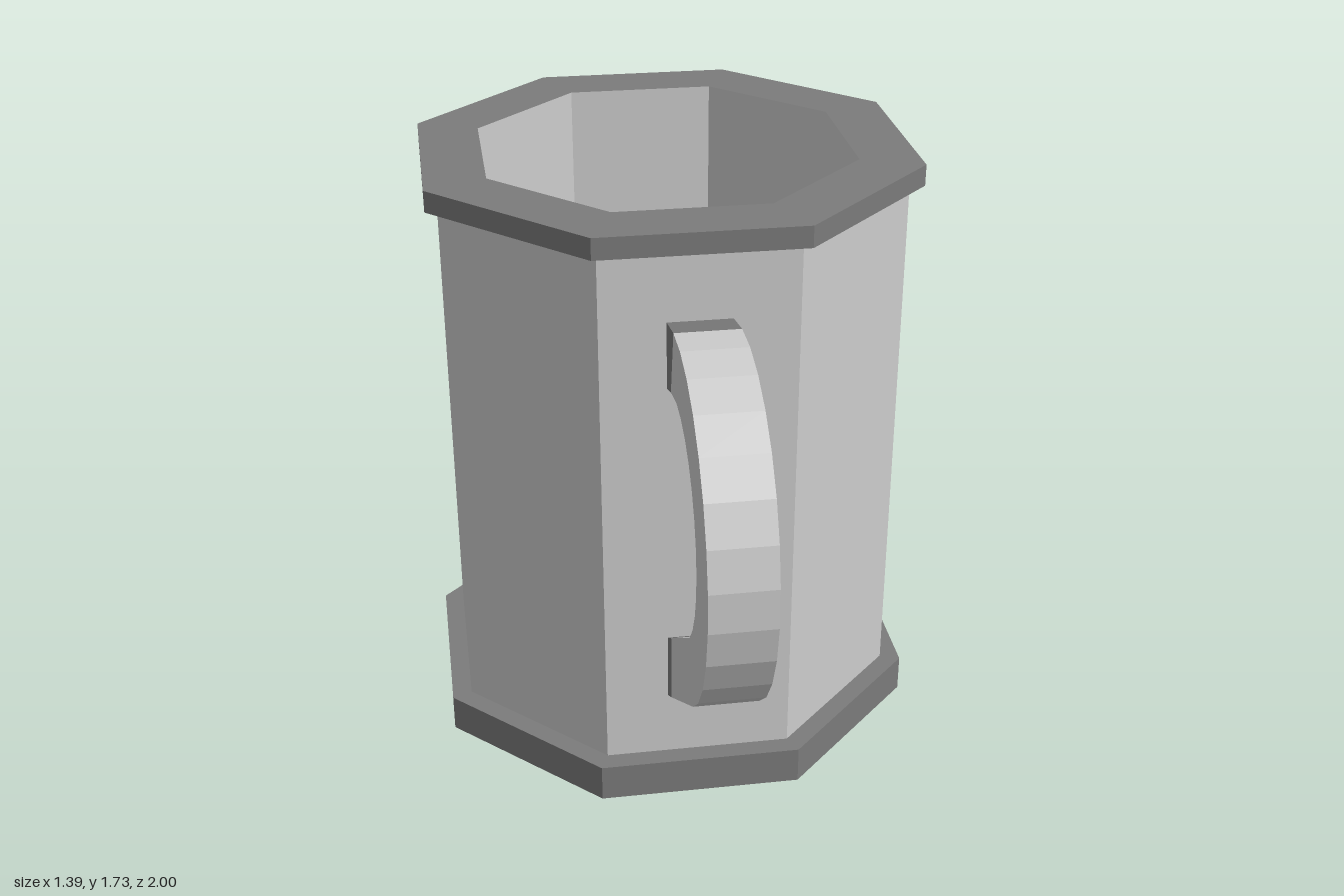
import * as THREE from 'three';

const CENTER_Z = -0.305;
const light = new THREE.MeshStandardMaterial({ color: 0xcccccc, flatShading: true });
const dark = new THREE.MeshStandardMaterial({ color: 0x7b7b7b, flatShading: true });

// Eight-sided turned part; profile is [distance to flat side, height]
function octagonal(name, profile, material) {
  const points = profile.map(([r, y]) => new THREE.Vector2(r / Math.cos(Math.PI / 8), y));
  const mesh = new THREE.Mesh(new THREE.LatheGeometry(points, 8, Math.PI / 8), material);
  mesh.name = name;
  mesh.position.z = CENTER_Z;
  return mesh;
}

// Flat slab drawn in the (z, y) plane and given a width along x
function slab(name, outline, width, material) {
  const shape = new THREE.Shape(outline.map(([z, y]) => new THREE.Vector2(z, y)));
  const geometry = new THREE.ExtrudeGeometry(shape, { depth: width, bevelEnabled: false });
  geometry.translate(0, 0, -width / 2).rotateY(-Math.PI / 2);
  const mesh = new THREE.Mesh(geometry, material);
  mesh.name = name;
  return mesh;
}

// Points along an arc around the centre of the handle's bend
function arc(radius, fromDeg, toDeg, steps) {
  return Array.from({ length: steps + 1 }, (_, i) => {
    const a = THREE.MathUtils.degToRad(fromDeg + (toDeg - fromDeg) * i / steps);
    return [0.505 + radius * Math.cos(a), 1 + radius * Math.sin(a)];
  });
}

export function createModel() {
  const model = new THREE.Group();
  model.name = 'mug';

  // Hollow body with a closed floor
  model.add(octagonal('body', [
    [0, 0], [0.638, 0], [0.638, 1.665], [0.508, 1.725], [0.508, 0.11], [0, 0.11],
  ], light));

  // Band around the foot
  model.add(octagonal('baseBand', [
    [0.638, 0], [0.695, 0], [0.695, 0.11], [0.638, 0.11],
  ], dark));

  // Lip on top of the walls
  model.add(octagonal('rim', [
    [0.638, 1.665], [0.677, 1.665], [0.677, 1.725], [0.508, 1.725],
  ], dark));

  // Handle: curved grip running into a straight lower leg
  const handle = new THREE.Group();
  handle.name = 'handle';
  const width = 0.174;
  handle.add(slab('grip', [
    ...arc(0.495, 96.4, -56, 12),
    [0.4, 0.345], [0.4, 0.545],
    ...arc(0.322, -47, 90, 11),
    [0.405, 1.305],
  ], width, light));

  // Darker end pieces that meet the body
  handle.add(slab('upperMount', [
    [0.45, 1.492], [0.33, 1.468], [0.33, 1.28], [0.405, 1.305],
  ], width, dark));
  handle.add(slab('lowerMount', [
    [0.4, 0.345], [0.4, 0.545], [0.33, 0.5], [0.33, 0.303],
  ], width, dark));
  model.add(handle);

  return model;
}
